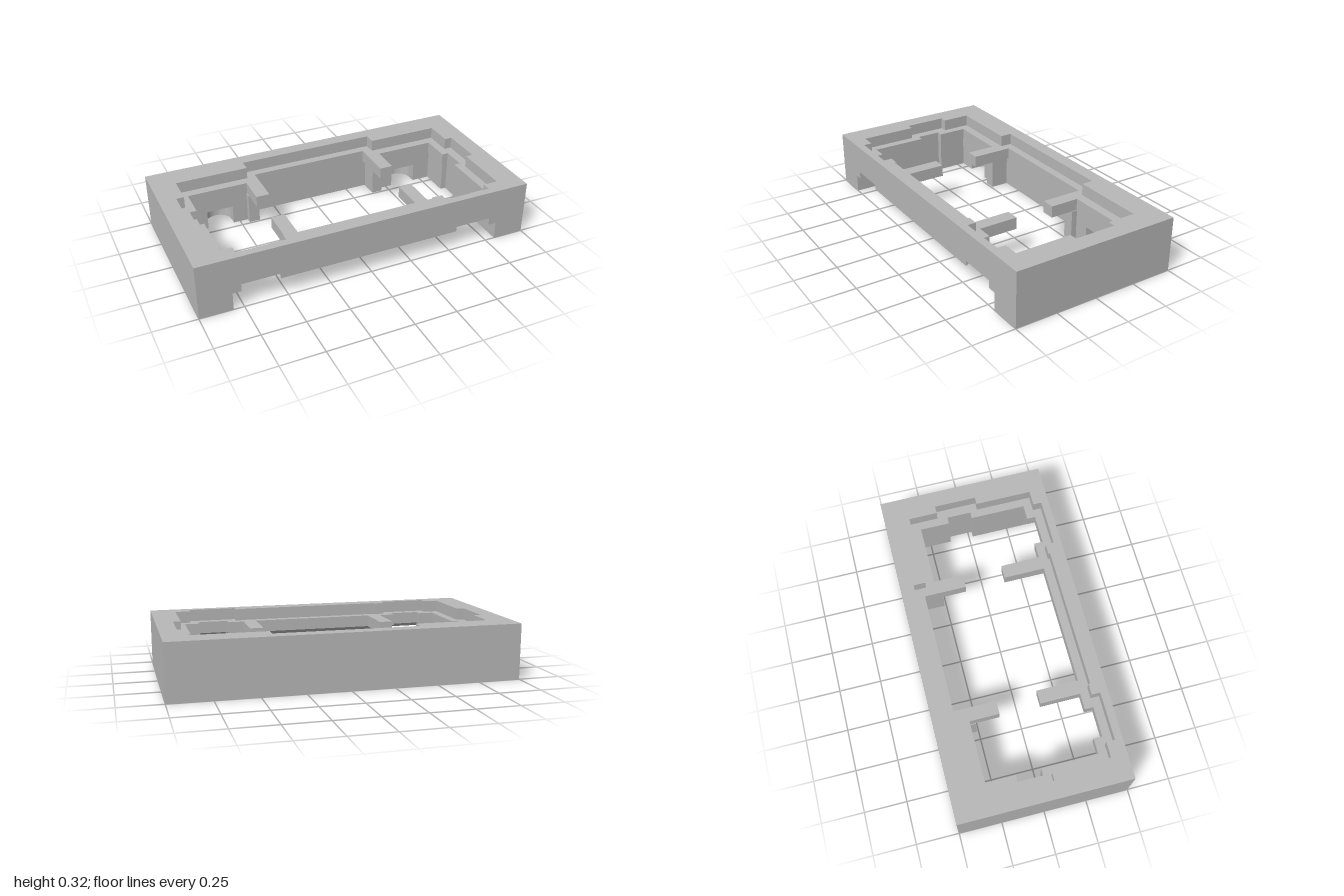
import * as THREE from 'three';

const vec = ([x, z]) => new THREE.Vector2(x, z);

// Completes a half outline (x > 0, listed back to front) by mirroring it across x = 0
const mirrored = (half) => [...half, ...half.slice().reverse().map(([x, z]) => [-x, z])].map(vec);

export function createModel() {
  const group = new THREE.Group();
  group.name = 'steppedFrame';
  const grey = new THREE.MeshStandardMaterial({ color: 0xb8b8b8 });
  grey.name = 'grey';

  const add = (name, geometry) => {
    const mesh = new THREE.Mesh(geometry, grey);
    mesh.name = name;
    group.add(mesh);
  };

  // Horizontal slab from an (x, z) outline, between two heights
  const addLayer = (name, outline, hole, bottom, top) => {
    const shape = new THREE.Shape(outline);
    if (hole) shape.holes.push(new THREE.Path(hole));
    const geometry = new THREE.ExtrudeGeometry(shape, { depth: top - bottom, bevelEnabled: false });
    geometry.rotateX(Math.PI / 2).translate(0, top, 0);
    add(name, geometry);
  };

  const height = 0.325, ledgeTop = 0.255, ledgeBottom = 0.185, pocketTop = 0.115;
  const outer = mirrored([[1, -0.5], [1, 0.5]]);

  // Upper rim around the wide recess
  addLayer('upperRim', outer, mirrored([
    [0.42, -0.42], [0.42, -0.35], [0.855, -0.35], [0.855, -0.18], [0.9, -0.18], [0.9, 0.07],
    [0.855, 0.07], [0.855, 0.405], [0.765, 0.405], [0.765, 0.455], [0.485, 0.455],
    [0.485, 0.405], [0.42, 0.405], [0.42, 0.415],
  ]), ledgeTop, height);

  // Ledge plate with four inward arms
  addLayer('ledgePlate', outer, mirrored([
    [0.365, -0.37], [0.365, -0.12], [0.445, -0.12], [0.445, -0.295], [0.805, -0.295],
    [0.805, -0.12], [0.845, -0.12], [0.845, 0.025], [0.805, 0.025], [0.805, 0.355],
    [0.715, 0.355], [0.715, 0.405], [0.54, 0.405], [0.54, 0.355], [0.445, 0.355],
    [0.445, 0.12], [0.365, 0.12], [0.365, 0.365],
  ]), ledgeBottom, ledgeTop);

  // Lower walls: a U open to the front, with round-ended pockets in the bottom part
  const lowerOutline = (pocket) => mirrored([
    [0.385, -0.37], [0.385, -0.26], [0.45, -0.26], [0.45, -0.295],
    ...pocket,
    [0.81, -0.295], [0.81, -0.12], [0.845, -0.12], [0.845, 0.025], [0.81, 0.025],
    [0.81, 0.5], [1, 0.5], [1, -0.5],
  ]);
  const pocket = [[0.54, -0.295]];
  for (let i = 0; i <= 20; i++) {
    const a = Math.PI * (1 - i / 20);
    pocket.push([0.62 + 0.08 * Math.cos(a), -0.34 - 0.08 * Math.sin(a)]);
  }
  pocket.push([0.7, -0.295]);
  addLayer('lowerWalls', lowerOutline([]), null, pocketTop, ledgeBottom);
  addLayer('pocketWalls', lowerOutline(pocket), null, 0, pocketTop);

  // Front lip: wedges that slope up towards the inside, stepped along x
  const addWedge = (x0, x1, low) => {
    const inner = 0.5 - (ledgeBottom - low) * 1.2;
    const shape = new THREE.Shape([[0.5, low], [0.5, ledgeBottom], [inner, ledgeBottom]].map(vec));
    const geometry = new THREE.ExtrudeGeometry(shape, { depth: x1 - x0, bevelEnabled: false });
    geometry.rotateY(-Math.PI / 2).translate(x1, 0, 0);
    add('frontLip', geometry);
  };
  addWedge(-0.54, 0.54, 0.12);
  for (const [a, b, low] of [[0.54, 0.76, 0.15], [0.76, 0.81, 0.105]]) {
    addWedge(a, b, low);
    addWedge(-b, -a, low);
  }

  return group;
}
